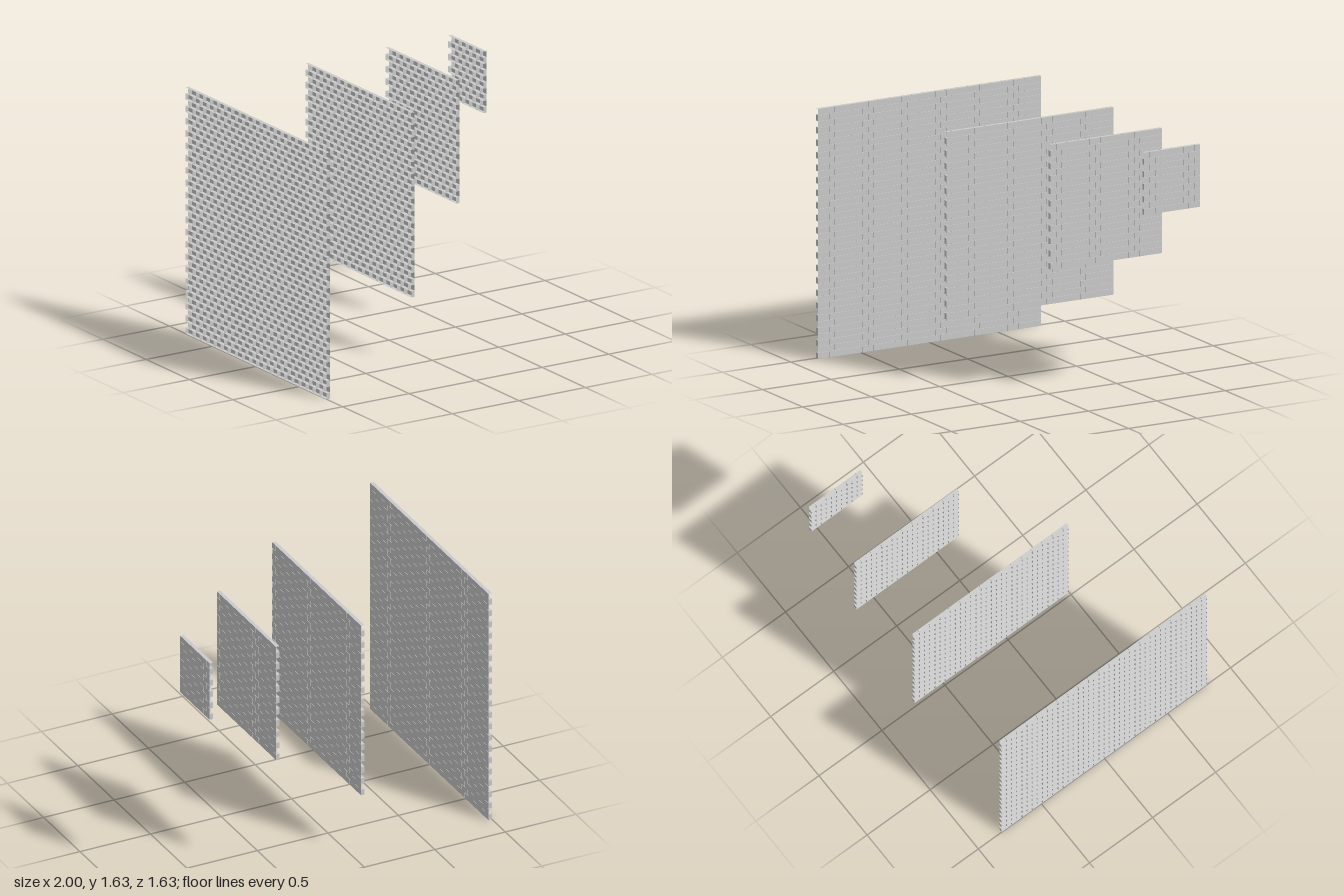
import * as THREE from 'three';
import { mergeGeometries } from 'three/addons/utils/BufferGeometryUtils.js';

const ROW = 0.04075;      // course height
const BRICK = ROW * 2;    // brick length along z
const DEPTH = 0.0245;     // wall thickness along x
const GAP = 0.0014;       // open joint between bricks
const TOP = ROW * 40;     // all walls share this top edge
const BACK = -ROW * 20;   // and this rear edge

// Hollow brick open at the back (-x); an end of the wall may cut it open too
function brick(z0, z1, y, cutStart, cutEnd) {
  const a = z0 + (cutStart ? 0 : GAP / 2);
  const b = z1 - (cutEnd ? 0 : GAP / 2);
  const box = new THREE.BoxGeometry(DEPTH, ROW - GAP, b - a);
  const all = Array.from(box.index.array);
  // box sides in order: +x, -x, +y, -y, +z, -z
  const keep = [true, false, true, true, !cutEnd, !cutStart];
  box.setIndex(all.filter((_, i) => keep[Math.floor(i / 6)]));
  box.clearGroups();
  return box.translate(0, y + ROW / 2, (a + b) / 2);
}

// Running bond: every second course is shifted by half a brick and cut at both ends
function wallGeometry(bricksLong) {
  const rows = bricksLong * 2;
  const length = bricksLong * BRICK;
  const parts = [];
  for (let r = 0; r < rows; r++) {
    const y = TOP - (rows - r) * ROW;
    const shifted = r % 2 === 1;
    const count = bricksLong + (shifted ? 1 : 0);
    for (let i = 0; i < count; i++) {
      const start = i * BRICK - (shifted ? BRICK / 2 : 0);
      const z0 = Math.max(0, start);
      const z1 = Math.min(length, start + BRICK);
      parts.push(brick(BACK + z0, BACK + z1, y,
        shifted && i === 0, shifted && i === count - 1));
    }
  }
  return mergeGeometries(parts);
}

export function createModel() {
  const model = new THREE.Group();
  model.name = 'brickWalls';
  const material = new THREE.MeshStandardMaterial({ color: 0xcccccc, side: THREE.DoubleSide });

  // Four square walls, from largest to smallest
  const walls = [
    ['largeWall', 20, -1 + DEPTH / 2],
    ['mediumWall', 15, -0.085],
    ['smallWall', 10, 0.518],
    ['tinyWall', 5, 1 - DEPTH / 2],
  ];
  for (const [name, bricksLong, x] of walls) {
    const wall = new THREE.Mesh(wallGeometry(bricksLong), material);
    wall.name = name;
    wall.position.x = x;
    model.add(wall);
  }
  return model;
}
